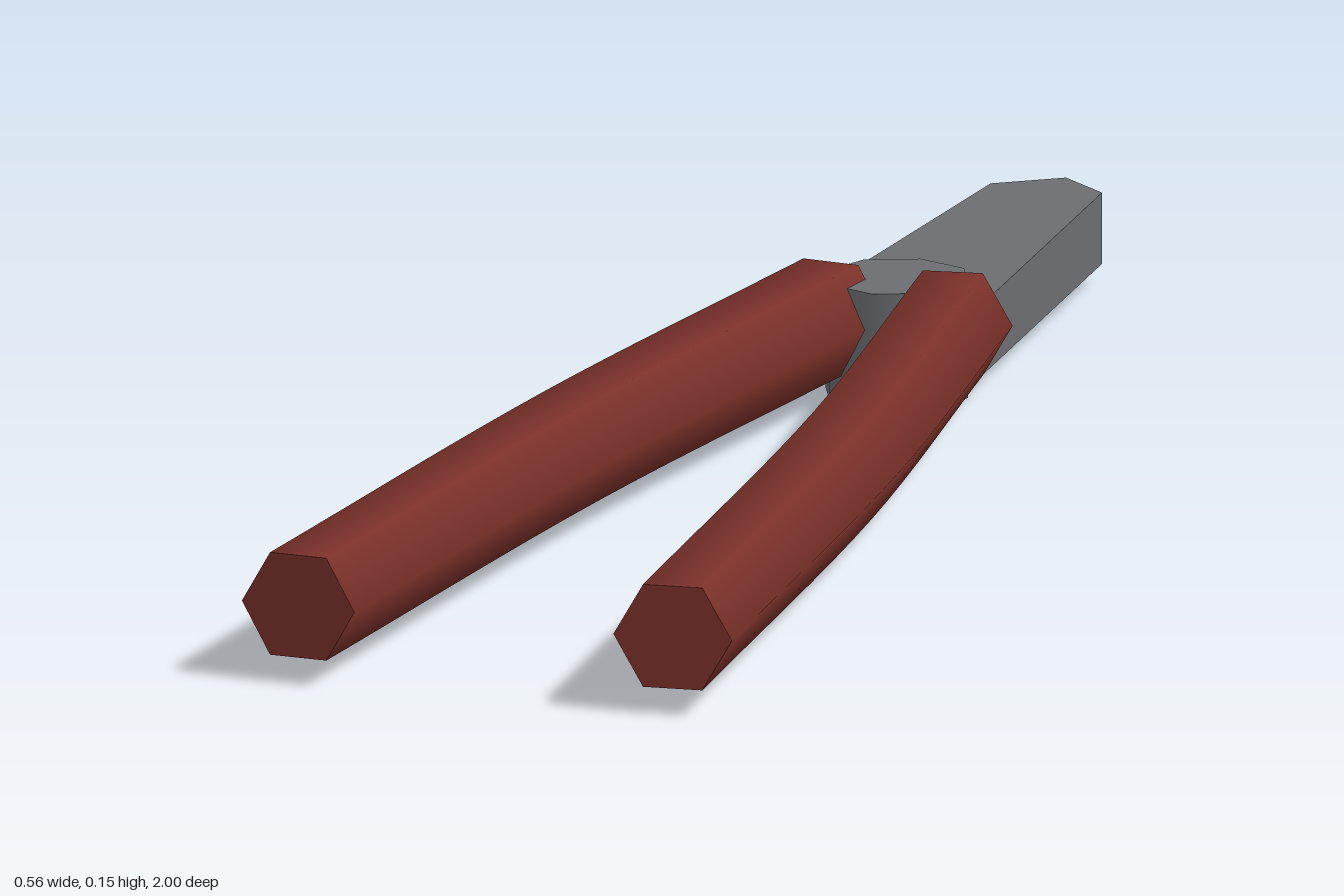
import * as THREE from 'three';

// Six-sided rod bent along a curve lying in a horizontal plane
function bentRod(curve, radius) {
  const geo = new THREE.CylinderGeometry(radius, radius, 1, 6, 16);
  const pos = geo.attributes.position;
  const nor = geo.attributes.normal;
  for (let i = 0; i < pos.count; i++) {
    const t = THREE.MathUtils.clamp(pos.getY(i) + 0.5, 0, 1);
    const p = curve.getPoint(t);
    const along = curve.getTangent(t);
    const side = new THREE.Vector3(along.z, 0, -along.x);
    const up = pos.getX(i);
    const out = pos.getZ(i);
    pos.setXYZ(i, p.x + side.x * out, p.y + up, p.z + side.z * out);
    const n = new THREE.Vector3()
      .addScaledVector(side, nor.getZ(i))
      .addScaledVector(along, nor.getY(i));
    n.y += nor.getX(i);
    nor.setXYZ(i, n.x, n.y, n.z);
  }
  return geo;
}

export function createModel() {
  const group = new THREE.Group();
  const steel = new THREE.MeshStandardMaterial({ color: 0x6b6e72 });
  steel.name = 'steel';
  const grip = new THREE.MeshStandardMaterial({ color: 0x7a3029 });
  grip.name = 'red grip';

  const add = (name, geo, mat) => {
    const mesh = new THREE.Mesh(geo, mat);
    mesh.name = name;
    group.add(mesh);
    return mesh;
  };

  // Closed jaws: tapered plate with a pointed tip (shape y becomes -z)
  const outline = new THREE.Shape([
    [-0.098, 0.4], [0.095, 0.4], [0.062, 0.95], [0.004, 1], [-0.066, 0.95],
  ].map(([x, y]) => new THREE.Vector2(x, y)));
  const jaws = new THREE.ExtrudeGeometry(outline, { depth: 0.08, bevelEnabled: false });
  jaws.rotateX(-Math.PI / 2);
  add('jaws', jaws, steel).position.y = 0.022;

  // Pivot bolt through the jaws
  add('pivot', new THREE.CylinderGeometry(0.082, 0.082, 0.13, 8), steel)
    .position.set(0, 0.065, -0.427);

  // Pair of spreading handles
  for (const [name, s] of [['leftHandle', 1], ['rightHandle', -1]]) {
    const curve = new THREE.CatmullRomCurve3([
      new THREE.Vector3(s * 0.07, 0.0875, -0.41),
      new THREE.Vector3(s * 0.153, 0.0875, 0.22),
      new THREE.Vector3(s * 0.215, 0.0875, 0.994),
    ]);
    add(name, bentRod(curve, 0.0665), grip);
  }
  return group;
}
